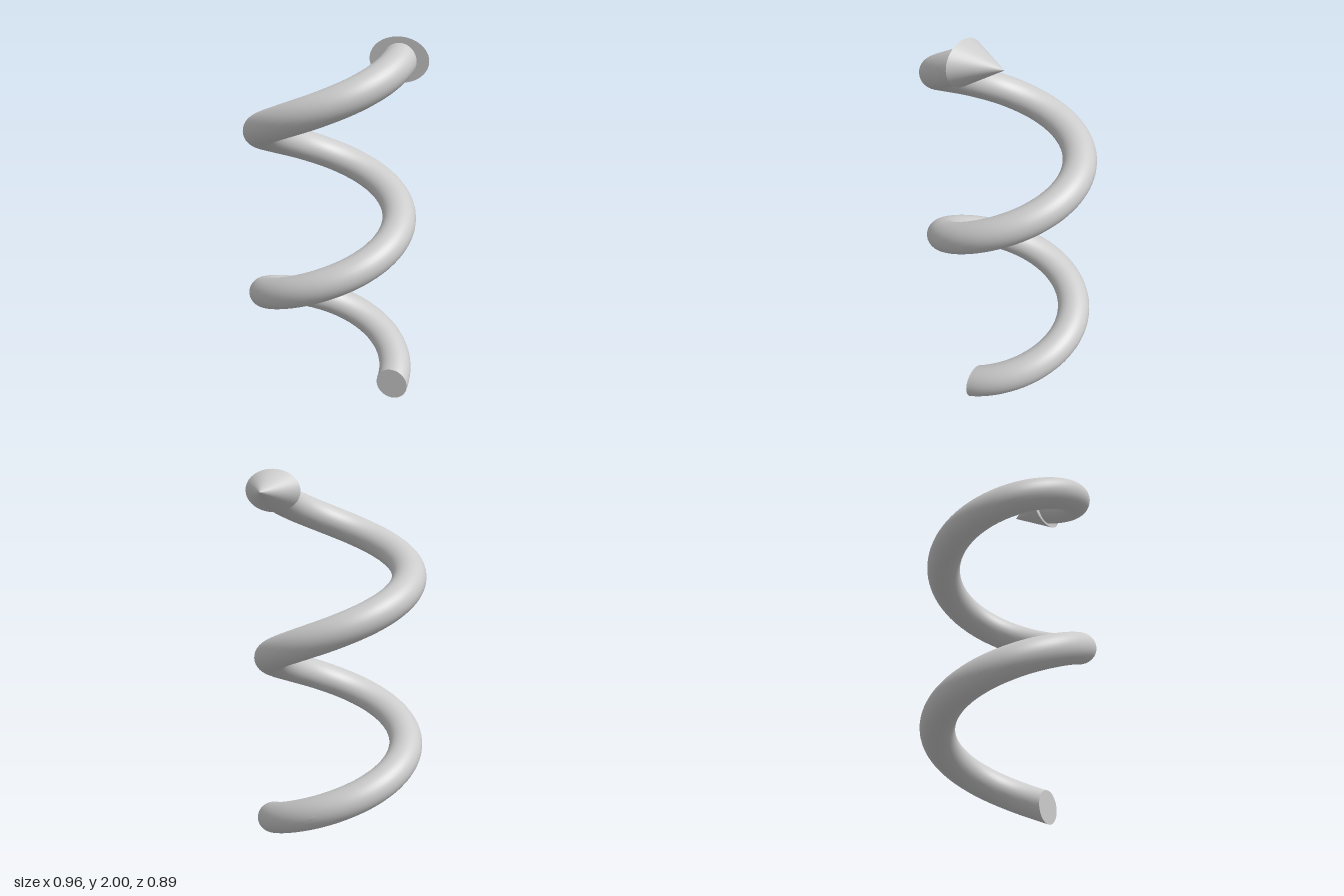
import * as THREE from 'three';
import { mergeVertices } from 'three/addons/utils/BufferGeometryUtils.js';

const CENTER_X = -0.032; // helix axis
const RADIUS = 0.359;    // helix radius
const TUBE = 0.088;      // tube radius
const BASE = 0.09;       // height of the helix start
const PITCH = 0.9;       // rise per turn
const TURNS = 2;

// A torus of several turns, raised steadily along its arc
function helixGeometry() {
  const torus = new THREE.TorusGeometry(RADIUS, TUBE, 32, 96 * TURNS, Math.PI * 2 * TURNS);
  torus.rotateX(-Math.PI / 2);
  const { position, uv } = torus.attributes;
  for (let i = 0; i < position.count; i++) {
    position.setY(i, position.getY(i) + uv.getX(i) * TURNS * PITCH);
  }
  // Weld the seam for smooth normals
  torus.deleteAttribute('uv');
  torus.deleteAttribute('normal');
  const welded = mergeVertices(torus, 1e-5);
  welded.computeVertexNormals();
  return welded;
}

export function createModel() {
  const group = new THREE.Group();
  group.name = 'spiralArrow';
  const material = new THREE.MeshStandardMaterial({ color: 0xcccccc });

  const add = (name, geometry, x, y, z) => {
    const mesh = new THREE.Mesh(geometry, material);
    mesh.name = name;
    mesh.position.set(x, y, z);
    group.add(mesh);
    return mesh;
  };

  const endX = CENTER_X + RADIUS;
  const topY = BASE + PITCH * TURNS;

  // Coiled shaft with flat vertical ends
  add('spiralShaft', helixGeometry(), CENTER_X, BASE, 0);
  add('startCap', new THREE.CircleGeometry(TUBE, 32), endX, BASE, 0);
  add('endCap', new THREE.CircleGeometry(TUBE, 32).rotateY(Math.PI), endX, topY, 0);

  // Flattened cone pointing to the back
  const head = new THREE.ConeGeometry(0.149, 0.213, 64);
  head.rotateX(-Math.PI / 2);
  head.scale(1, 0.738, 1);
  add('arrowHead', head, endX, topY, -0.0865);

  return group;
}
